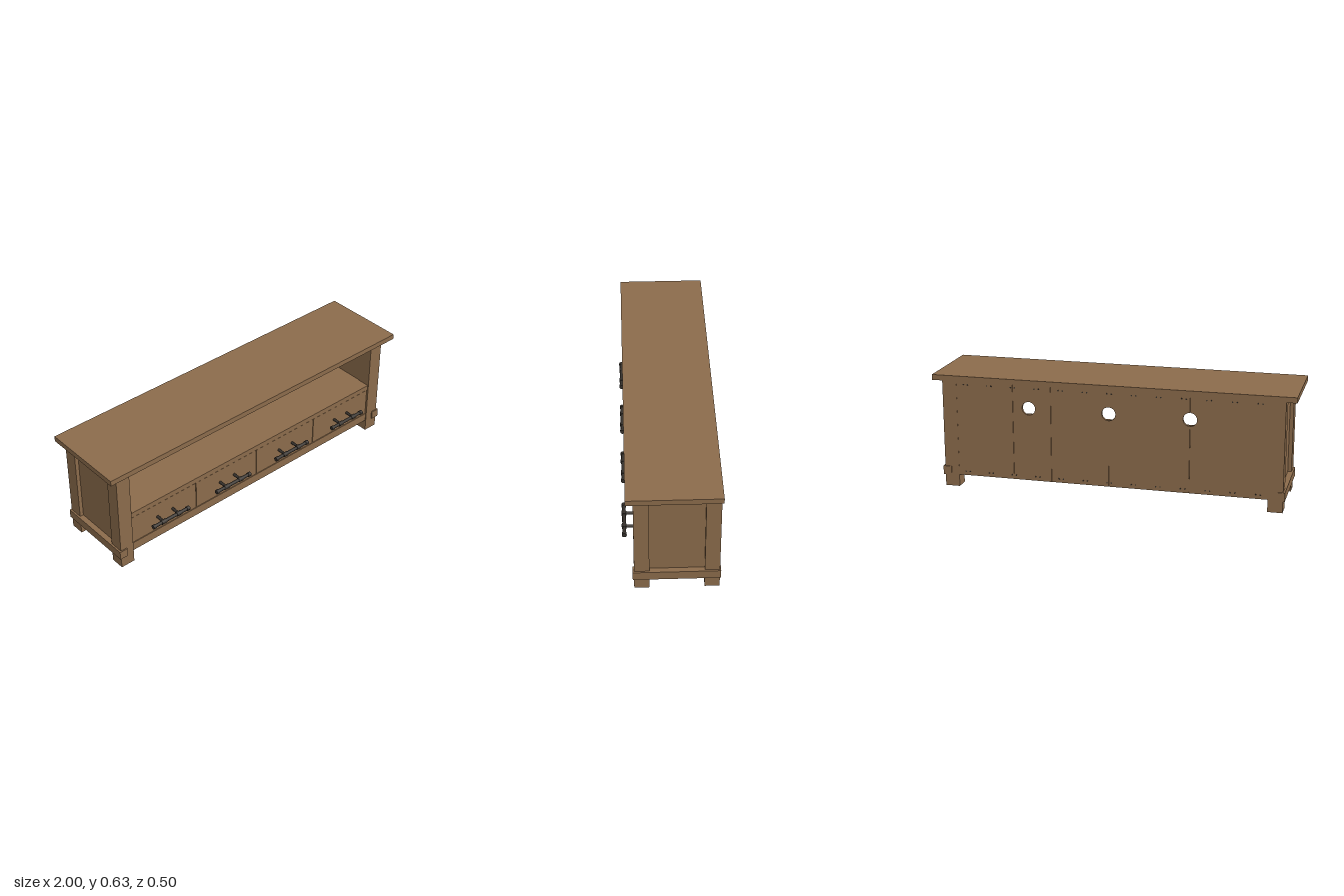
import * as THREE from 'three';

export function createModel() {
  const root = new THREE.Group();
  root.name = 'mediaConsole';
  const wood = new THREE.MeshStandardMaterial({ color: 0x8b6b4b });
  wood.name = 'brownWood';
  const iron = new THREE.MeshStandardMaterial({ color: 0x35302b });
  iron.name = 'darkIron';

  const add = (name, geometry, material, parent = root) => {
    const mesh = new THREE.Mesh(geometry, material);
    mesh.name = name;
    parent.add(mesh);
    return mesh;
  };
  // Box given by its limits on each axis
  const box = (name, x0, x1, y0, y1, z0, z1, parent = root) => {
    const mesh = add(name, new THREE.BoxGeometry(x1 - x0, y1 - y0, z1 - z0), wood, parent);
    mesh.position.set((x0 + x1) / 2, (y0 + y1) / 2, (z0 + z1) / 2);
    return mesh;
  };

  // Top, shelf, floor and front apron
  box('top', -1, 1, 0.605, 0.635, -0.25, 0.23);
  box('shelf', -0.865, 0.865, 0.29, 0.32, -0.23, 0.187);
  box('floor', -0.865, 0.865, 0.1, 0.118, -0.23, 0.165);
  box('frontApron', -0.862, 0.862, 0.068, 0.118, 0.165, 0.187);

  // Ends: posts, recessed panel and rails, mirrored left and right
  for (const s of [1, -1]) {
    const side = new THREE.Group();
    side.name = s > 0 ? 'leftEnd' : 'rightEnd';
    root.add(side);
    const sideBox = (name, a, b, ...rest) =>
      box(name, Math.min(s * a, s * b), Math.max(s * a, s * b), ...rest, side);
    sideBox('frontPost', 0.862, 0.943, 0, 0.605, 0.114, 0.192);
    sideBox('rearPost', 0.862, 0.943, 0, 0.605, -0.245, -0.168);
    sideBox('sidePanel', 0.866, 0.922, 0.068, 0.577, -0.168, 0.114);
    sideBox('upperSideRail', 0.866, 0.938, 0.577, 0.605, -0.168, 0.114);
    sideBox('lowerSideRail', 0.906, 0.953, 0.065, 0.114, -0.25, 0.199);
  }

  // Drawers, each with a bar pull on two stems
  const pitch = 0.43;
  for (let i = 0; i < 4; i++) {
    const cx = (i - 1.5) * pitch;
    const drawer = new THREE.Group();
    drawer.name = 'drawer' + (i + 1);
    root.add(drawer);
    box('drawerFront', cx - 0.213, cx + 0.213, 0.121, 0.287, -0.2, 0.185, drawer);

    const handle = new THREE.Group();
    handle.name = 'handle';
    handle.position.set(cx + 0.003, 0.203, 0.237);
    drawer.add(handle);
    const bar = add('handleBar', new THREE.CylinderGeometry(0.0095, 0.0095, 0.23, 14), iron, handle);
    bar.rotation.z = Math.PI / 2;
    for (const s of [1, -1]) {
      const tip = add('handleTip', new THREE.CylinderGeometry(0.0125, 0.0125, 0.018, 14), iron, handle);
      tip.rotation.z = Math.PI / 2;
      tip.position.x = s * 0.112;
      const collar = add('handleCollar', new THREE.CylinderGeometry(0.0125, 0.0125, 0.03, 14), iron, handle);
      collar.rotation.z = Math.PI / 2;
      collar.position.x = s * 0.05;
      const stem = add('handleStem', new THREE.CylinderGeometry(0.008, 0.008, 0.055, 12), iron, handle);
      stem.rotation.x = Math.PI / 2;
      stem.position.set(s * 0.05, 0, -0.0275);
    }
  }

  // Back boards; cable holes sit within a board or across a joint
  const r = 0.037, holeY = 0.477, yLow = 0.068, yHigh = 0.605;
  const board = (x0, x1, notchLeft, notchRight, holeX) => {
    const shape = new THREE.Shape();
    shape.moveTo(x0, yLow);
    shape.lineTo(x1, yLow);
    if (notchRight) shape.absarc(x1, holeY, r, -Math.PI / 2, -Math.PI * 1.5, true);
    shape.lineTo(x1, yHigh);
    shape.lineTo(x0, yHigh);
    if (notchLeft) shape.absarc(x0, holeY, r, Math.PI / 2, -Math.PI / 2, true);
    shape.lineTo(x0, yLow);
    if (holeX !== undefined) {
      const hole = new THREE.Path();
      hole.absarc(holeX, holeY, r, 0, Math.PI * 2, true);
      shape.holes.push(hole);
    }
    const geometry = new THREE.ExtrudeGeometry(shape, { depth: 0.015, bevelEnabled: false, curveSegments: 16 });
    add('backBoard', geometry, wood).position.z = -0.244;
  };
  const gap = 0.0008;
  board(-0.862, -0.44 - gap, false, true);
  board(-0.44 + gap, 0.003 - gap, true, true);
  board(0.003 + gap, 0.325 - gap, true, false);
  board(0.325 + gap, 0.54 - gap, false, false, 0.45);
  board(0.54 + gap, 0.862, false, false);

  // Paired screws along the top and bottom of the back
  for (const y of [0.09, 0.588]) {
    for (let i = 0; i < 13; i++) {
      for (const dx of [-0.012, 0.012]) {
        const screw = add('backScrew', new THREE.CylinderGeometry(0.004, 0.004, 0.003, 8), iron);
        screw.rotation.x = Math.PI / 2;
        screw.position.set(-0.81 + i * 0.135 + dx, y, -0.2445);
      }
    }
  }

  // Small cable grommet at the rear of the shelf
  add('cableGrommet', new THREE.CylinderGeometry(0.02, 0.02, 0.008, 16), iron).position.set(0.04, 0.324, -0.205);

  return root;
}
